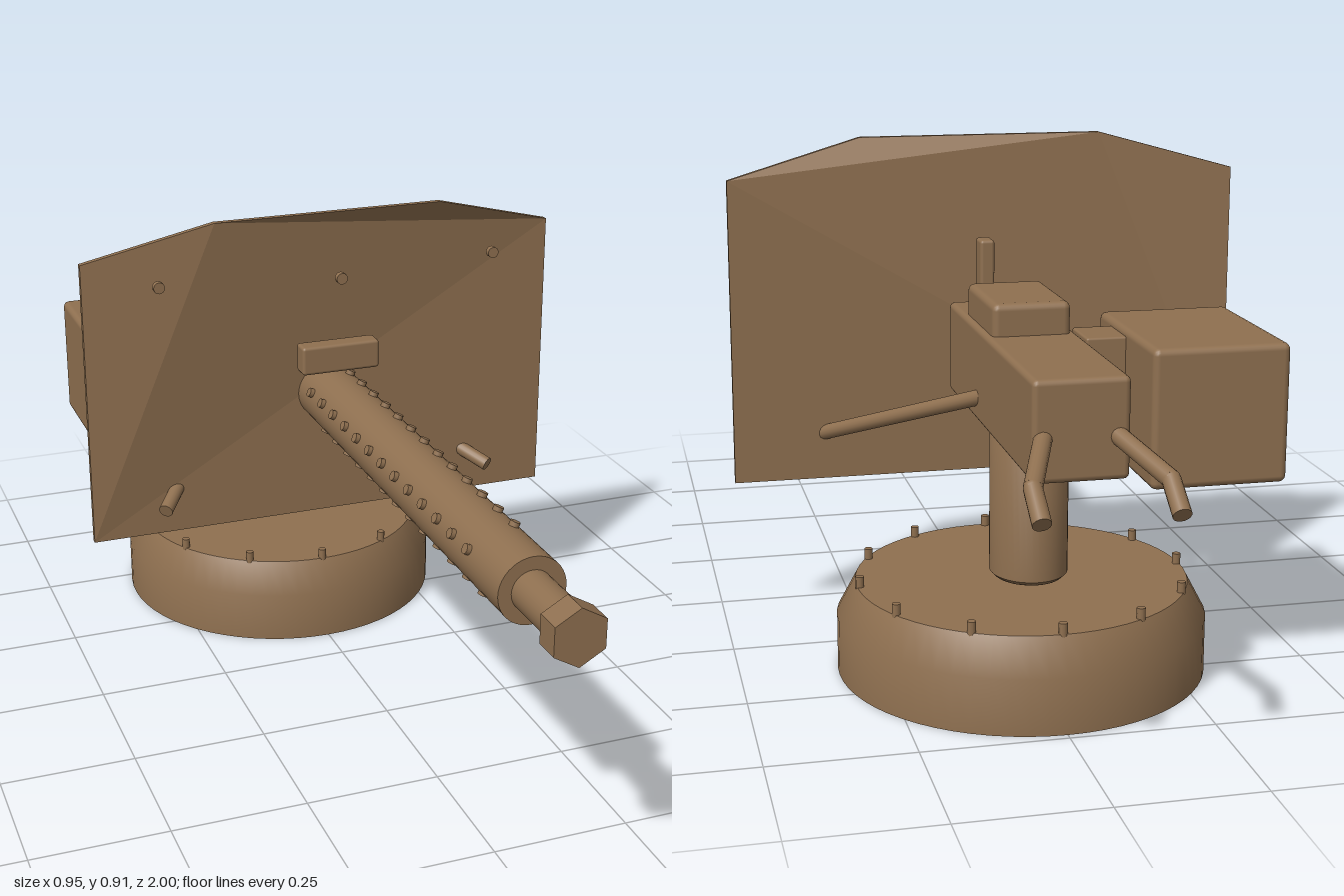
import * as THREE from 'three';
import { RoundedBoxGeometry } from 'three/addons/geometries/RoundedBoxGeometry.js';

export function createModel() {
  const model = new THREE.Group();
  const paint = new THREE.MeshStandardMaterial({ color: 0x8f7050 });
  paint.name = 'brown paint';
  const axisX = 0.007, axisY = 0.535; // bore line

  function add(name, geometry, parent = model) {
    const mesh = new THREE.Mesh(geometry, paint);
    mesh.name = name;
    parent.add(mesh);
    return mesh;
  }
  // rounded box given by its min and max corners
  function box(name, a, b, r = 0.01) {
    const s = b.map((v, i) => v - a[i]);
    const mesh = add(name, new RoundedBoxGeometry(s[0], s[1], s[2], 2, r));
    mesh.position.set(...a.map((v, i) => (v + b[i]) / 2));
    return mesh;
  }
  // cylinder between two points
  function rod(name, a, b, r, sides = 24, parent = model) {
    const p = new THREE.Vector3(...a), q = new THREE.Vector3(...b);
    const d = q.clone().sub(p);
    const mesh = add(name, new THREE.CylinderGeometry(r, r, d.length(), sides), parent);
    mesh.position.copy(p).add(q).multiplyScalar(0.5);
    mesh.quaternion.setFromUnitVectors(new THREE.Vector3(0, 1, 0), d.normalize());
    return mesh;
  }
  function group(name) {
    const g = new THREE.Group();
    g.name = name;
    model.add(g);
    return g;
  }

  // round base with sloping shoulder
  const profile = [[0, 0], [0.328, 0], [0.328, 0], [0.328, 0.1], [0.295, 0.162], [0.295, 0.162], [0, 0.162]];
  add('base', new THREE.LatheGeometry(profile.map(p => new THREE.Vector2(...p)), 64)).position.z = -0.41;
  const baseBolts = group('baseBolts');
  for (let i = 0; i < 12; i++) {
    const t = i * Math.PI / 6, x = 0.29 * Math.sin(t), z = -0.41 + 0.29 * Math.cos(t);
    rod('baseBolt', [x, 0.15, z], [x, 0.181, z], 0.0075, 10, baseBolts);
  }

  // pedestal column
  const column = [[0, 0.185], [0.06, 0.185], [0.068, 0.193], [0.068, 0.193], [0.068, 0.47], [0, 0.47]];
  const pedestal = add('pedestal', new THREE.LatheGeometry(column.map(p => new THREE.Vector2(...p)), 40));
  pedestal.position.z = -0.463;
  pedestal.scale.z = 1.14;

  // receiver, cover, ammunition box and feed
  box('receiver', [-0.072, 0.455, -0.82], [0.085, 0.62, -0.195]);
  box('topCover', [-0.06, 0.6, -0.51], [0.075, 0.675, -0.305], 0.012);
  box('ammoBox', [-0.41, 0.37, -0.625], [-0.17, 0.612, -0.298], 0.012);
  box('feedTray', [-0.18, 0.51, -0.465], [-0.1, 0.6, -0.37], 0.004);
  box('rearSight', [-0.005, 0.635, -0.178], [0.022, 0.727, -0.134], 0.006);
  box('frontSightBlock', [-0.078, 0.61, -0.043], [0.078, 0.666, -0.004], 0.006);

  // barrel
  rod('barrelJacket', [axisX, axisY, -0.2], [axisX, axisY, 0.835], 0.059, 40);
  rod('barrel', [axisX, axisY, 0.83], [axisX, axisY, 0.96], 0.036, 32);
  const muzzle = add('muzzleNut', new THREE.CylinderGeometry(0.05, 0.05, 0.048, 6).toNonIndexed());
  muzzle.geometry.computeVertexNormals();
  muzzle.rotation.x = Math.PI / 2;
  muzzle.position.set(axisX, axisY, 0.976);

  // rows of studs on the jacket
  const studs = group('jacketStuds');
  for (let row = 0; row < 4; row++) {
    const t = (66 + 90 * row) * Math.PI / 180;
    for (let i = 0; i < 13; i++) {
      const z = -0.041 + 0.0627 * i;
      const at = r => [axisX + r * Math.cos(t), axisY + r * Math.sin(t), z];
      rod('jacketStud', at(0.052), at(0.067), 0.009, 10, studs);
    }
  }

  // shield plate, its top edge bent forward
  const outline = [[-0.477, 0.277], [0.477, 0.277], [0.477, 0.842], [0.228, 0.91], [-0.228, 0.91], [-0.477, 0.842]];
  const plate = new THREE.ExtrudeGeometry(new THREE.Shape(outline.map(p => new THREE.Vector2(...p))),
    { depth: 0.012, bevelEnabled: false });
  const pos = plate.attributes.position;
  for (let i = 0; i < pos.count; i++) {
    pos.setZ(i, pos.getZ(i) - 0.122 + (pos.getY(i) > 0.9 ? 0.042 : 0));
  }
  plate.computeVertexNormals();
  add('shield', plate);
  for (const [x, z] of [[-0.34, -0.06], [0, 0.001], [0.34, -0.06]]) {
    rod('shieldBolt', [x, 0.798, z - 0.012], [x, 0.798, z], 0.011, 16);
  }

  // mirrored shield braces and bent hand grips
  for (const s of [-1, 1]) {
    rod('shieldBrace', [s * 0.343, 0.343, -0.065], [s * 0.065, 0.505, -0.445], 0.014, 16);
    const grip = group('handGrip');
    const points = [[0.055, 0.53, -0.8], [0.106, 0.488, -0.935], [0.106, 0.449, -0.99]]
      .map(p => [axisX + s * p[0], p[1], p[2]]);
    for (let i = 0; i < 2; i++) rod('gripTube', points[i], points[i + 1], 0.015, 16, grip);
    add('gripElbow', new THREE.SphereGeometry(0.015, 16, 10), grip).position.set(...points[1]);
  }
  return model;
}
